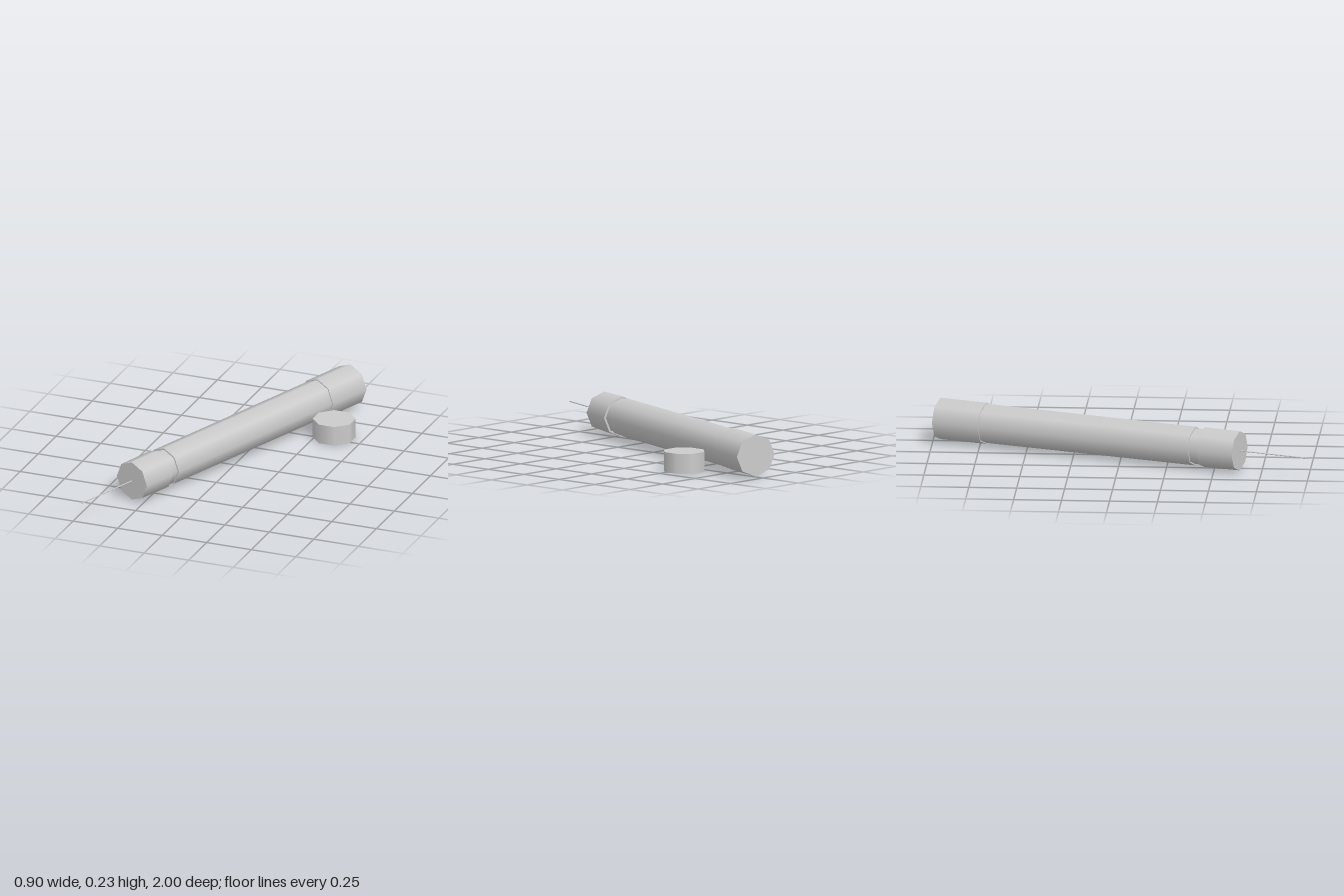
import * as THREE from 'three';

const material = new THREE.MeshStandardMaterial({ color: 0xcccccc });
const openMaterial = new THREE.MeshStandardMaterial({ color: 0xcccccc, side: THREE.DoubleSide });
const SIDES = 8;

// Eight-sided barrel section running backwards (-z) from distance a to b.
function section(name, a, b, frontRadius, backRadius, sides = SIDES) {
  const geometry = new THREE.CylinderGeometry(backRadius, frontRadius, b - a, sides);
  geometry.translate(0, (a + b) / 2, 0);
  geometry.rotateX(-Math.PI / 2);
  const mesh = new THREE.Mesh(geometry, material);
  mesh.name = name;
  return mesh;
}

export function createModel() {
  const model = new THREE.Group();
  model.name = 'penInjector';

  // Pen: its origin is the centre of the front face
  const pen = new THREE.Group();
  pen.name = 'pen';
  pen.add(
    section('needle', -0.388, 0, 0.003, 0.003),
    section('needleHub', 0, 0.2, 0.105, 0.107),
    section('neck', 0.2, 0.25, 0.096, 0.096),
    section('barrel', 0.25, 1.45, 0.104, 0.105),
    section('doseKnob', 1.44, 1.7, 0.111, 0.111)
  );
  pen.position.set(-0.318, 0.111, 0.635);
  pen.rotation.set(0.003, THREE.MathUtils.degToRad(-20), 0, 'YXZ');
  model.add(pen);

  // Loose cap standing beside the pen: closed on top, open underneath
  const cap = new THREE.Group();
  cap.name = 'cap';
  const radius = 0.112, height = 0.105;
  const wall = new THREE.Mesh(
    new THREE.CylinderGeometry(radius, radius, height, SIDES, 1, true).translate(0, height / 2, 0),
    openMaterial
  );
  wall.name = 'capWall';
  const top = new THREE.Mesh(
    new THREE.CircleGeometry(radius, SIDES).rotateX(-Math.PI / 2).translate(0, height, 0),
    openMaterial
  );
  top.name = 'capTop';
  cap.add(wall, top);
  cap.position.set(0.345, 0, -0.532);
  cap.rotation.y = Math.PI / SIDES;
  model.add(cap);

  return model;
}
